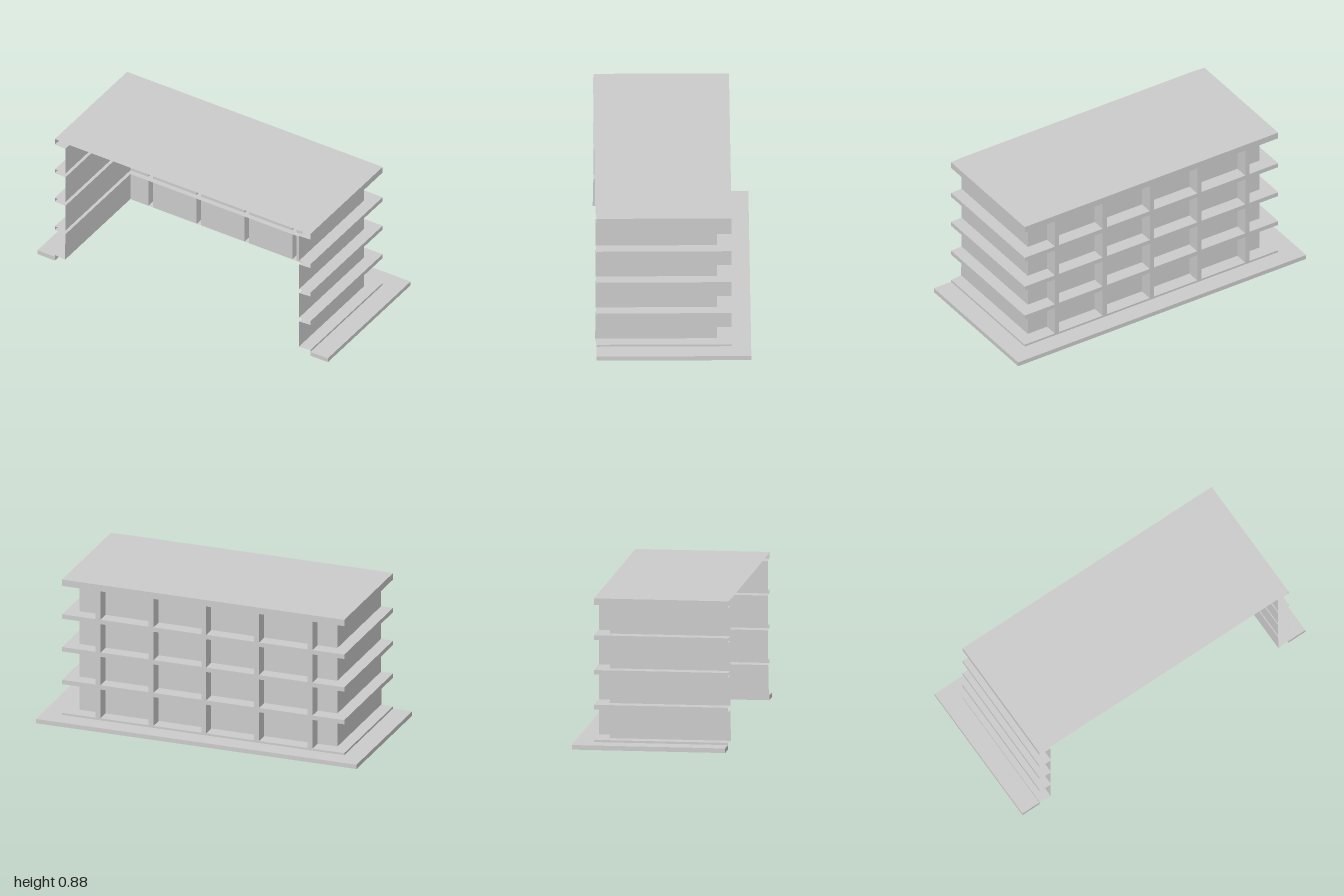
import * as THREE from 'three';

const WALL_X = 0.805, WALL_Z = -0.257, EDGE_X = 0.88, EDGE_Z = -0.34;
const WALL_F = 0.45, EDGE_F = 0.446;

const material = new THREE.MeshStandardMaterial({
  color: 0xcccccc, side: THREE.DoubleSide, flatShading: true,
});

// Sheet mesh from a list of four-cornered faces (counter-clockwise from outside)
function sheet(name, quads) {
  const pos = [];
  for (const [a, b, c, d] of quads) pos.push(...a, ...b, ...c, ...a, ...c, ...d);
  const g = new THREE.BufferGeometry();
  g.setAttribute('position', new THREE.Float32BufferAttribute(pos, 3));
  g.computeVertexNormals();
  const m = new THREE.Mesh(g, material);
  m.name = name;
  return m;
}

// U-shaped plan outline: along one side, across the back, along the other side
const outline = ([x, zBack, zFront, y]) => [
  [x, y, zFront], [x, y, zBack], [-x, y, zBack], [-x, y, zFront],
];

// Sweep a profile of [x, zBack, zFront, y] stations around the U
function sweepU(name, profile) {
  const quads = [];
  for (let j = 0; j < profile.length - 1; j++) {
    const p = outline(profile[j]), q = outline(profile[j + 1]);
    for (let i = 0; i < 3; i++) quads.push([p[i], q[i], q[i + 1], p[i + 1]]);
  }
  return sheet(name, quads);
}

const inner = (y) => [WALL_X, WALL_Z, WALL_F, y];
const outer = (y) => [EDGE_X, EDGE_Z, EDGE_F, y];
const plinth = (y) => [1, -0.454, EDGE_F, y];

export function createModel() {
  const model = new THREE.Group();

  // Projecting floor bands, hollow towards the inside
  const bands = [[0.22, 0.247], [0.425, 0.452], [0.63, 0.657]];
  for (const [lo, hi] of bands) {
    model.add(sweepU('floorBand', [inner(hi), outer(hi), outer(lo), inner(lo)]));
  }

  // Roof sheet with its rim
  model.add(sweepU('roofRim', [outer(0.875), outer(0.835), inner(0.835)]));
  const roof = new THREE.Shape([
    [-EDGE_X, -EDGE_F], [-WALL_X, -0.452], [WALL_X, -0.452], [EDGE_X, -EDGE_F],
    [EDGE_X, -EDGE_Z], [-EDGE_X, -EDGE_Z],
  ].map(([x, y]) => new THREE.Vector2(x, y)));
  const roofMesh = new THREE.Mesh(
    new THREE.ShapeGeometry(roof).rotateX(-Math.PI / 2).translate(0, 0.875, 0), material);
  roofMesh.name = 'roof';
  model.add(roofMesh);

  // Stepped base around three sides
  model.add(sweepU('base', [
    [WALL_X, WALL_Z, 0.454, 0.04], outer(0.04), outer(0.027), plinth(0.027),
    plinth(0), outer(0), outer(0.027),
  ]));
  for (const s of [1, -1]) {
    const a = s > 0 ? EDGE_X : -1, b = s > 0 ? 1 : -EDGE_X;
    model.add(sheet('baseEnd', [
      [[a, 0, EDGE_F], [b, 0, EDGE_F], [b, 0.027, EDGE_F], [a, 0.027, EDGE_F]],
    ]));
  }

  // Storeys: side walls, back panels and the fins between them
  const fins = [-0.666, -0.333, -0.003, 0.325, 0.656], half = 0.015;
  const storeys = [[0.04, 0.22], [0.247, 0.425], [0.452, 0.63], [0.657, 0.835]];
  storeys.forEach(([lo, hi], level) => {
    const foot = level === 0 ? 0.454 : WALL_F;
    const X = WALL_X, Z = WALL_Z;
    model.add(sheet('leftWall', [[[X, lo, foot], [X, lo, Z], [X, hi, Z], [X, hi, WALL_F]]]));
    model.add(sheet('rightWall', [[[-X, lo, Z], [-X, lo, foot], [-X, hi, WALL_F], [-X, hi, Z]]]));

    const starts = [-X, ...fins.map((f) => f + half)];
    const ends = [...fins.map((f) => f - half), X];
    model.add(sheet('backPanels', starts.map((a, i) => {
      const b = ends[i];
      return [[b, lo, Z], [a, lo, Z], [a, hi, Z], [b, hi, Z]];
    })));

    // Hollow fins: outer face and two cheeks, flush with the bands
    const E = EDGE_Z;
    model.add(sheet('backFins', fins.flatMap((f) => {
      const a = f - half, b = f + half;
      return [
        [[b, lo, E], [a, lo, E], [a, hi, E], [b, hi, E]],
        [[a, lo, E], [a, lo, Z], [a, hi, Z], [a, hi, E]],
        [[b, lo, Z], [b, lo, E], [b, hi, E], [b, hi, Z]],
      ];
    })));
  });

  return model;
}
